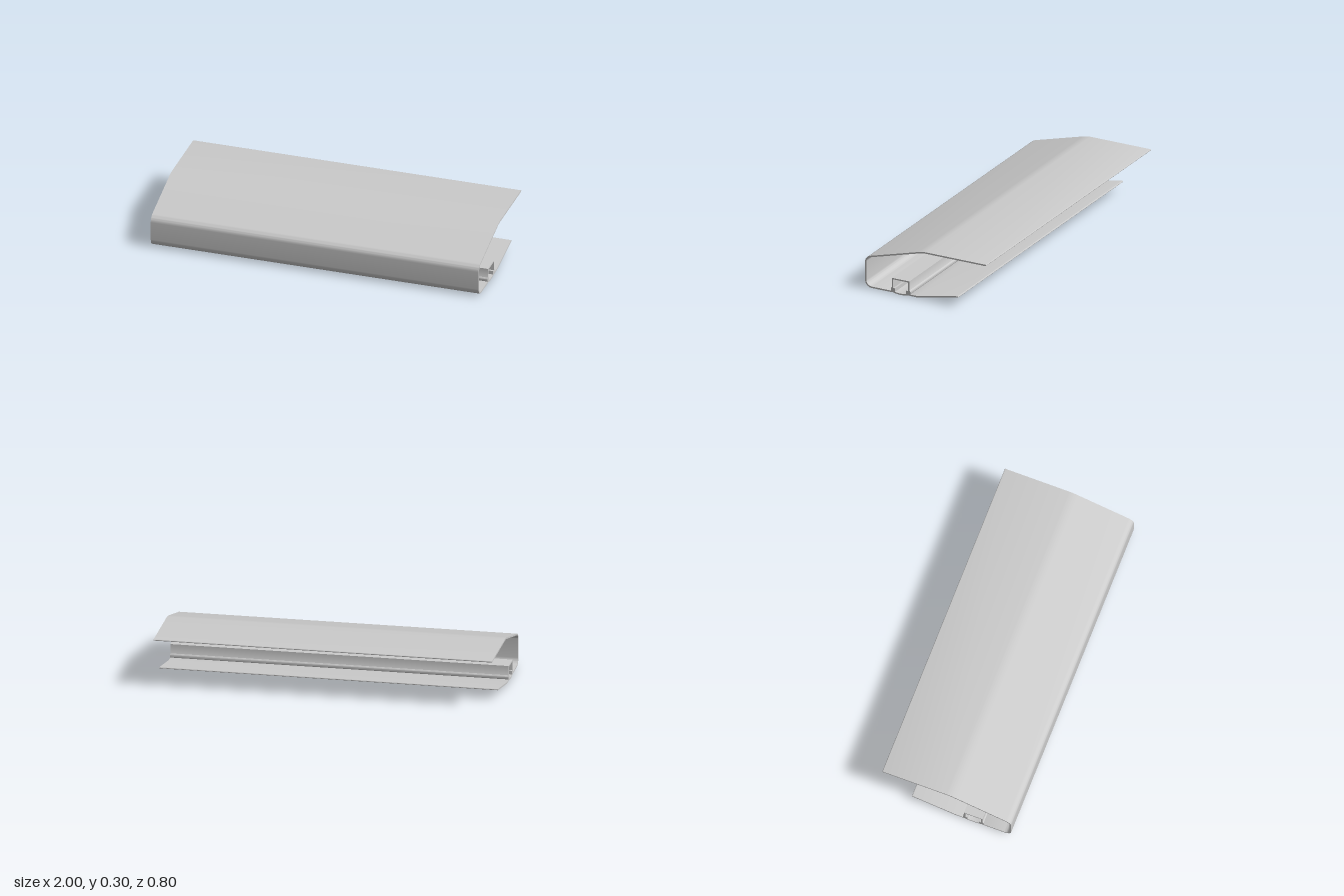
import * as THREE from 'three';
import { toCreasedNormals } from 'three/addons/utils/BufferGeometryUtils.js';

const LENGTH = 2;
const HALF = 0.0045; // half the sheet thickness
const material = new THREE.MeshStandardMaterial({ color: 0xcccccc });

// Extrudes a (z, y) section along the whole length in x
function extrude(name, shape) {
  const geo = new THREE.ExtrudeGeometry(shape, { depth: LENGTH, bevelEnabled: false, curveSegments: 12 });
  geo.rotateY(-Math.PI / 2).translate(LENGTH / 2, 0, 0);
  const mesh = new THREE.Mesh(toCreasedNormals(geo, 0.6), material);
  mesh.name = name;
  return mesh;
}

// Closed outline of a sheet around a centreline, with rounded ends
function sheetOutline(path) {
  const pts = path.getPoints(10).filter((p, i, a) => i === 0 || p.distanceTo(a[i - 1]) > 1e-4);
  const dirs = pts.slice(1).map((p, i) => p.clone().sub(pts[i]).normalize());
  const last = dirs.length - 1;
  const left = [], right = [];
  pts.forEach((p, i) => {
    const a = dirs[Math.max(i - 1, 0)], b = dirs[Math.min(i, last)];
    const d = a.clone().add(b).normalize();
    const off = new THREE.Vector2(-d.y, d.x).multiplyScalar(HALF / d.dot(a));
    left.push(p.clone().add(off));
    right.push(p.clone().sub(off));
  });
  const cap = (p, start) => [1, 2, 3, 4, 5].map((k) => {
    const t = start - (k / 6) * Math.PI;
    return new THREE.Vector2(p.x + HALF * Math.cos(t), p.y + HALF * Math.sin(t));
  });
  const endCap = cap(pts[pts.length - 1], dirs[last].angle() + Math.PI / 2);
  const startCap = cap(pts[0], dirs[0].angle() - Math.PI / 2);
  return new THREE.Shape([...left, ...endCap, ...right.reverse(), ...startCap]);
}

export function createModel() {
  const group = new THREE.Group();
  group.name = 'profileRail';

  // Outer shell: flat top, sloping front, rounded nose and floor
  const shell = new THREE.Path();
  shell.moveTo(-0.3955, 0.2955);
  shell.lineTo(0, 0.2955);
  shell.quadraticCurveTo(0.027, 0.2945, 0.055, 0.286);
  shell.lineTo(0.36, 0.203);
  shell.bezierCurveTo(0.383, 0.197, 0.3955, 0.182, 0.3955, 0.162);
  shell.lineTo(0.3955, 0.0505);
  shell.bezierCurveTo(0.3955, 0.0284, 0.3776, 0.0105, 0.3555, 0.0105);
  shell.lineTo(0.223, 0.0105);
  group.add(extrude('outerShell', sheetOutline(shell)));

  // Lower lip rising to the back
  const lip = new THREE.Path();
  lip.moveTo(0.107, 0.0105);
  lip.lineTo(0.058, 0.0105);
  lip.lineTo(-0.211, 0.0615);
  group.add(extrude('lowerLip', sheetOutline(lip)));

  // Hollow channel with bulged feet and a bowed underside
  const c = 0.165;
  const channel = new THREE.Shape();
  channel.moveTo(c + 0.0575, 0.096);
  channel.lineTo(c - 0.0575, 0.096);
  channel.lineTo(c - 0.0575, 0.039);
  channel.bezierCurveTo(c - 0.067, 0.036, c - 0.067, 0.014, c - 0.056, 0.008);
  channel.quadraticCurveTo(c, -0.008, c + 0.056, 0.008);
  channel.bezierCurveTo(c + 0.067, 0.014, c + 0.067, 0.036, c + 0.0575, 0.039);
  channel.closePath();
  const hole = new THREE.Path();
  hole.moveTo(c - 0.0495, 0.088);
  hole.lineTo(c + 0.0495, 0.088);
  hole.lineTo(c + 0.0495, 0.034);
  hole.lineTo(c + 0.037, 0.034);
  hole.lineTo(c + 0.037, 0.012);
  hole.quadraticCurveTo(c, 0.005, c - 0.037, 0.012);
  hole.lineTo(c - 0.037, 0.034);
  hole.lineTo(c - 0.0495, 0.034);
  hole.closePath();
  channel.holes.push(hole);
  group.add(extrude('innerChannel', channel));

  return group;
}
